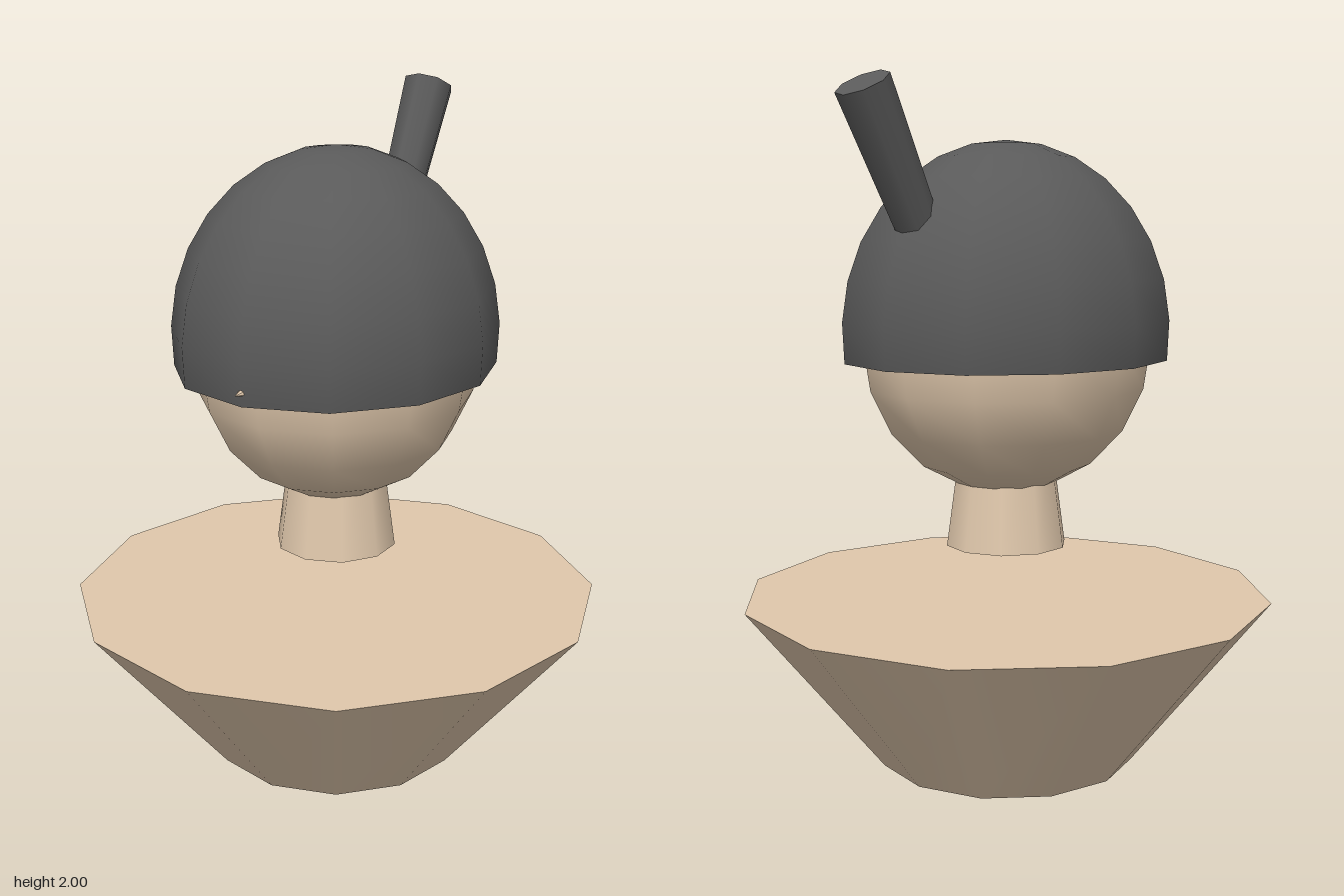
import * as THREE from 'three';

export function createModel() {
  const group = new THREE.Group();
  const skin = new THREE.MeshStandardMaterial({ color: 0xe0c8ac });
  skin.name = 'skin';
  const hair = new THREE.MeshStandardMaterial({ color: 0x5a5a5a, side: THREE.DoubleSide });
  hair.name = 'charcoal';

  function add(name, geometry, material, x, y, z) {
    const mesh = new THREE.Mesh(geometry, material);
    mesh.name = name;
    mesh.position.set(x, y, z);
    group.add(mesh);
    return mesh;
  }

  // Flared bust, wider at the shoulders
  add('bust', new THREE.CylinderGeometry(0.787, 0.383, 0.5, 12), skin, 0, 0.25, 0);

  // Floating neck, tapering up into the head
  add('neck', new THREE.CylinderGeometry(0.14, 0.181, 0.3, 10), skin, 0, 0.8, 0);

  // Slightly narrow head
  const head = add('head', new THREE.SphereGeometry(1, 12, 10), skin, 0, 1.26, 0);
  head.scale.set(0.42, 0.45, 0.44);

  // Small nose cone, its tip just clearing the cap
  const nose = add('nose', new THREE.ConeGeometry(0.04, 0.13, 6), skin, 0, 1.243, 0.465);
  nose.rotation.x = Math.PI / 2;

  // Open dome over the upper head
  const dome = add('hairDome', new THREE.SphereGeometry(1, 12, 8, 0, Math.PI * 2, 0, Math.PI * 0.55), hair, 0, 1.29, 0);
  dome.scale.set(0.467, 0.547, 0.506);

  // Tail leaning backwards out of the dome
  const length = 0.47, tilt = 0.5;
  const tail = add('hairTail', new THREE.CylinderGeometry(0.077, 0.06, length, 8), hair,
    0, 1.96 - Math.cos(tilt) * length / 2, -0.57 + Math.sin(tilt) * length / 2);
  tail.rotation.x = -tilt;

  return group;
}
